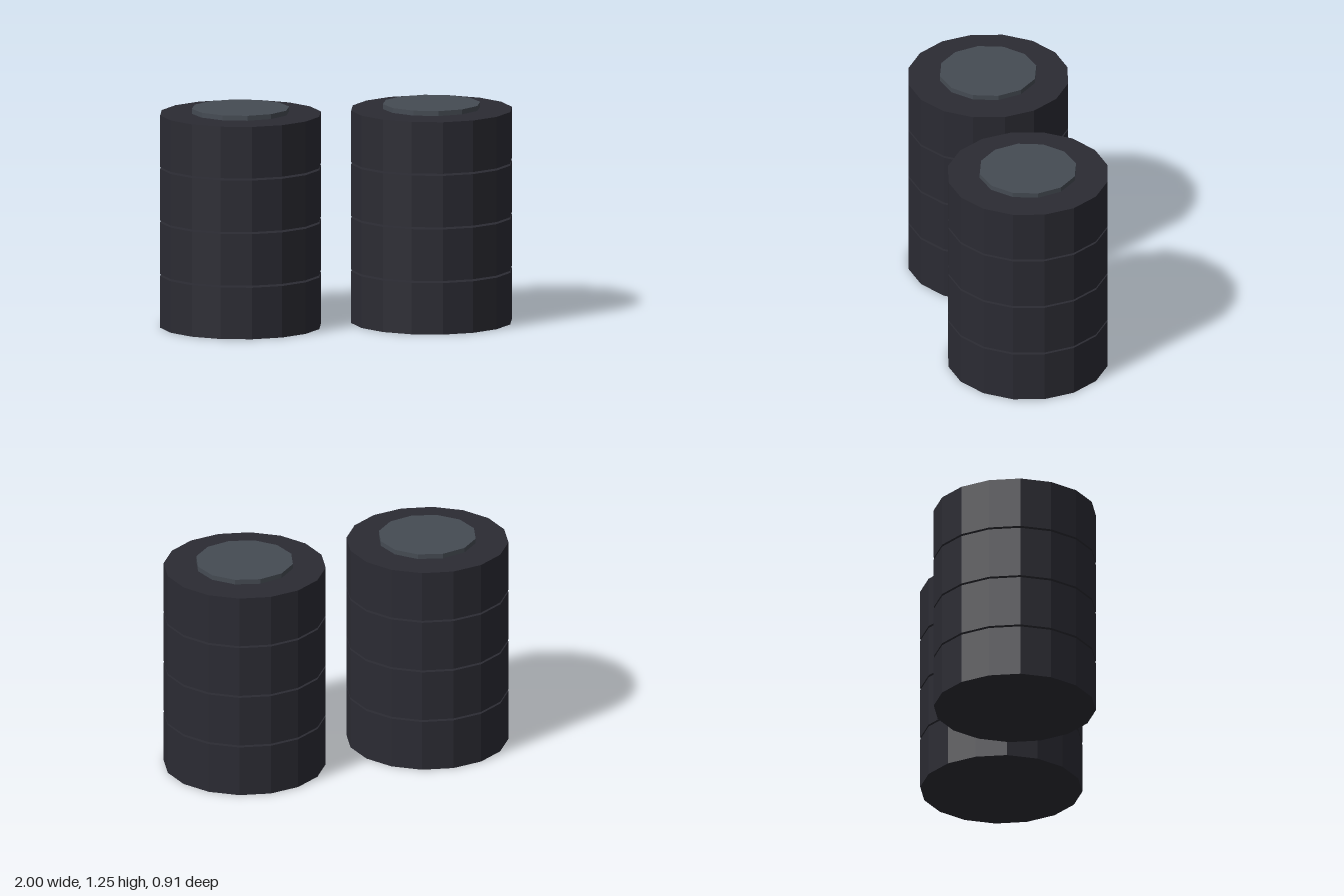
import * as THREE from 'three';

export function createModel() {
  const model = new THREE.Group();
  model.name = 'tyreStacks';

  const rubber = new THREE.MeshStandardMaterial({ color: 0x2b2b33, flatShading: true });
  rubber.name = 'dark rubber';
  const cap = new THREE.MeshStandardMaterial({ color: 0x454b53, flatShading: true });
  cap.name = 'grey cap';

  const radius = 0.457, height = 0.294, pitch = 0.306, layers = 4;
  const tyreGeometry = new THREE.CylinderGeometry(radius, radius, height, 16);
  const capGeometry = new THREE.CylinderGeometry(0.277, 0.277, 0.028, 12);

  // Two mirrored stacks, each of four tyres with a small gap between them
  for (const side of [-1, 1]) {
    const stack = new THREE.Group();
    stack.name = side > 0 ? 'leftStack' : 'rightStack';
    stack.position.x = side * (1 - radius);

    for (let i = 0; i < layers; i++) {
      const tyre = new THREE.Mesh(tyreGeometry, rubber);
      tyre.name = `tyre${i + 1}`;
      tyre.position.y = height / 2 + i * pitch;
      stack.add(tyre);
    }

    // Disc hovering just above the top tyre
    const disc = new THREE.Mesh(capGeometry, cap);
    disc.name = 'topCap';
    disc.position.y = 1.231;
    stack.add(disc);
    model.add(stack);
  }
  return model;
}
